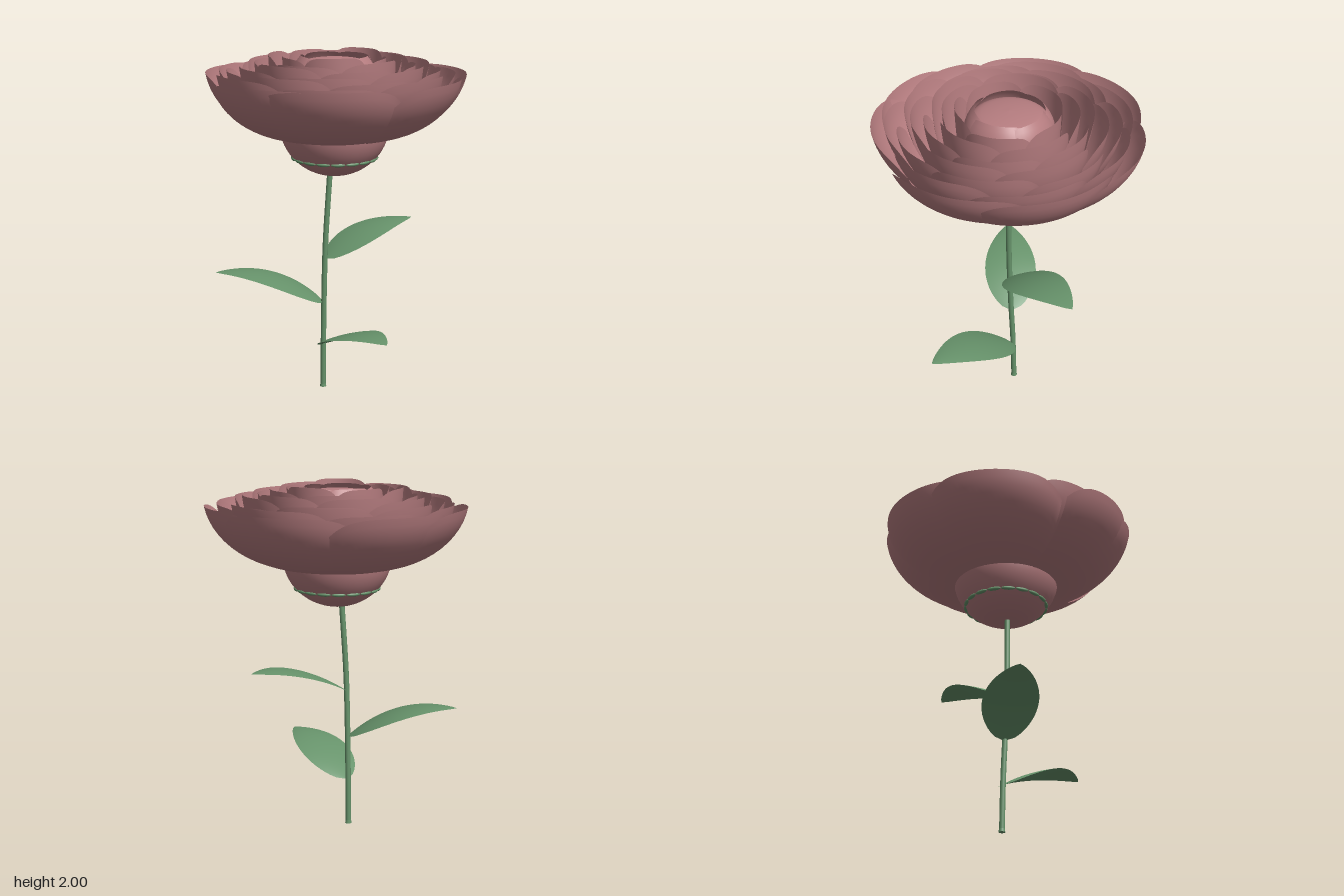
import * as THREE from 'three';

const V = (x, y, z) => new THREE.Vector3(x, y, z);
const pink = new THREE.MeshStandardMaterial({ color: 0xb67d80, side: THREE.DoubleSide });
pink.name = 'dusty pink';
const green = new THREE.MeshStandardMaterial({ color: 0x67936b, side: THREE.DoubleSide });
green.name = 'leaf green';

function add(parent, name, geometry, material) {
  const mesh = new THREE.Mesh(geometry, material);
  mesh.name = name;
  parent.add(mesh);
  return mesh;
}

// Grid surface: rule(u in -1..1, v in 0..1) gives each point
function surface(nu, nv, rule) {
  const g = new THREE.PlaneGeometry(2, 1, nu, nv);
  const p = g.attributes.position;
  for (let i = 0; i < p.count; i++) {
    const q = rule(p.getX(i), p.getY(i) + 0.5);
    p.setXYZ(i, q.x, q.y, q.z);
  }
  g.computeVertexNormals();
  return g;
}

// Cupped petal: bowl-shaped arc, rounded corners, one edge tucked in and the other out
function petal(angle, half, R, top) {
  const r0 = Math.min(0.22, R * 0.75), y0 = 1.525, end = 1.42;
  return surface(24, 14, (u, v) => {
    const w = v * (1 - 0.16 * Math.pow(Math.abs(u), 5));
    const a = w * end;
    let r = r0 + (R - r0) * Math.sin(a) / Math.sin(end);
    r += w * R * (0.04 * u - 0.07 * u * u);
    const y = y0 + (top - y0) * (1 - Math.cos(a)) / (1 - Math.cos(end));
    const t = angle + u * half;
    return V(r * Math.cos(t), y, r * Math.sin(t));
  });
}

// Arched leaf along a curve from the stem to the tip
function leaf(base, tip) {
  const mid = base.clone().lerp(tip, 0.5).setY(tip.y + 0.05);
  const curve = new THREE.QuadraticBezierCurve3(base, mid, tip);
  const side = V(base.z - tip.z, 0, tip.x - base.x).normalize();
  return surface(10, 24, (u, v) => {
    const w = 0.155 * Math.pow(Math.max(0, Math.sin(Math.PI * Math.pow(v, 0.75))), 0.8);
    const q = curve.getPoint(v).addScaledVector(side, u * w);
    q.y -= 0.1 * w * u * u;
    return q;
  });
}

export function createModel() {
  const model = new THREE.Group();
  model.name = 'flower';

  // Slightly bent stem
  const path = new THREE.CatmullRomCurve3([
    V(-0.075, 0, 0), V(-0.07, 0.3, 0.005), V(-0.06, 0.6, 0.015),
    V(-0.048, 0.9, 0.02), V(-0.02, 1.34, 0.015)]);
  add(model, 'stem', new THREE.TubeGeometry(path, 40, 0.016, 12), green);
  const foot = add(model, 'stemFoot', new THREE.CylinderGeometry(0.016, 0.019, 0.02, 12), green);
  foot.position.set(-0.075, 0.01, 0);

  // Three leaves
  add(model, 'lowerLeaf', leaf(V(-0.065, 0.27, 0.0), V(0.46, 0.44, 0.3)), green);
  add(model, 'middleLeaf', leaf(V(-0.065, 0.53, 0.01), V(-0.64, 0.71, 0.27)), green);
  add(model, 'upperLeaf', leaf(V(-0.05, 0.8, 0.02), V(0.28, 0.97, -0.49)), green);

  // Rounded cup under the bloom
  const cup = [];
  for (let i = 0; i <= 16; i++) {
    const a = i / 16 * Math.PI / 2;
    cup.push(new THREE.Vector2(0.31 * Math.sin(a), 1.59 - 0.29 * Math.cos(a)));
  }
  add(model, 'cup', new THREE.LatheGeometry(cup, 48), pink);

  // Ring of small sepals around the cup
  const sepals = new THREE.Group();
  sepals.name = 'sepals';
  const bead = new THREE.SphereGeometry(1, 10, 8);
  for (let i = 0; i < 18; i++) {
    const t = i / 18 * Math.PI * 2;
    const m = add(sepals, 'sepal', bead, green);
    m.scale.set(0.012, 0.011, 0.042);
    m.position.set(0.237 * Math.cos(t), 1.405, 0.237 * Math.sin(t));
    m.rotation.y = -t;
  }
  model.add(sepals);

  // Outer petals, unevenly spaced
  const bloom = new THREE.Group();
  bloom.name = 'bloom';
  for (const deg of [4, 66, 99, 168, 211, 267, 315])
    add(bloom, 'outerPetal', petal(deg * Math.PI / 180, 0.6, 0.74, 1.88), pink);

  // Inner rings, higher towards the centre: radius, top, count, turn
  const rings = [
    [0.67, 1.895, 7, 0.3], [0.6, 1.91, 7, 0.75], [0.53, 1.93, 6, 0.2],
    [0.455, 1.95, 6, 0.8], [0.375, 1.97, 5, 0.4], [0.29, 1.985, 5, 1.1]];
  for (const [R, top, n, turn] of rings)
    for (let i = 0; i < n; i++) {
      const wobble = 0.012 * Math.sin(i * 2.4 + turn * 7);
      add(bloom, 'innerPetal',
        petal(turn + i / n * Math.PI * 2, Math.PI / n * 1.22, R, top + wobble), pink);
    }

  // Closed bud in the middle, wrapped by a collar
  const bud = [[0.25, 1.55], [0.255, 1.75], [0.24, 1.87], [0.19, 1.94], [0.1, 1.963], [0, 1.97]];
  add(bloom, 'bud', new THREE.LatheGeometry(
    new THREE.SplineCurve(bud.map(p => new THREE.Vector2(...p))).getPoints(20), 48), pink);
  for (let i = 0; i < 5; i++)
    add(bloom, 'budPetal', surface(14, 6, (u, v) => {
      const t = i / 5 * Math.PI * 2 + u * 0.72;
      const r = 0.247 - 0.06 * v * v + 0.008 * u * v;
      return V(r * Math.cos(t), 1.84 + 0.14 * v * (1 - 0.1 * u ** 4), r * Math.sin(t));
    }), pink);
  model.add(bloom);
  return model;
}
